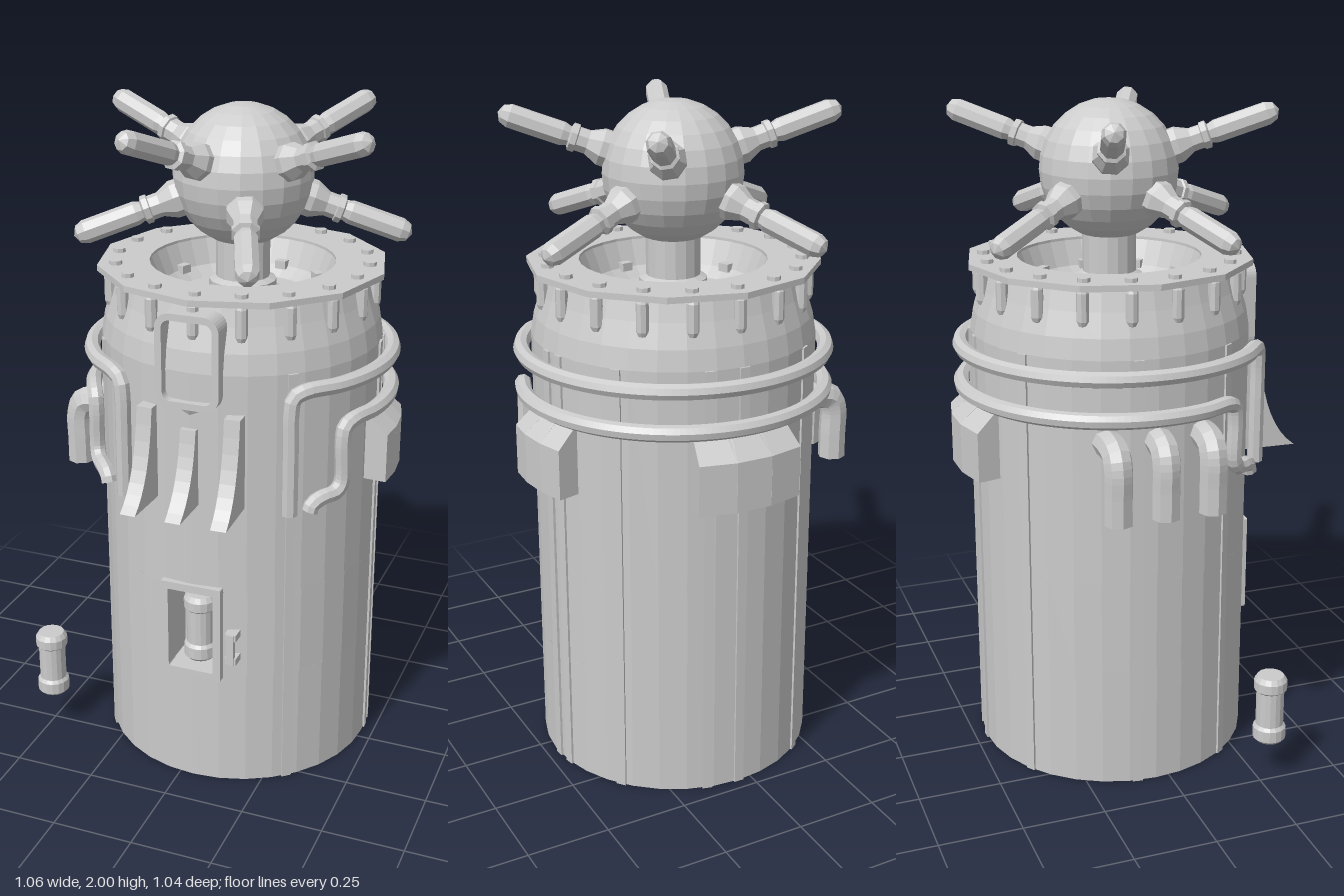
import * as THREE from 'three';

const grey = new THREE.MeshStandardMaterial({ color: 0xcccccc, flatShading: true, side: THREE.DoubleSide });
const inner = new THREE.MeshStandardMaterial({ color: 0xcccccc, flatShading: true, side: THREE.BackSide });
const V = (x, y, z) => new THREE.Vector3(x, y, z);
const deg = THREE.MathUtils.degToRad;

export function createModel() {
  const model = new THREE.Group();
  const tower = new THREE.Group();
  tower.name = 'tower';
  tower.position.set(0.043, 0, -0.042);
  model.add(tower);

  const add = (name, geometry, x = 0, y = 0, z = 0, material = grey) => {
    const mesh = new THREE.Mesh(geometry, material);
    mesh.name = name;
    mesh.position.set(x, y, z);
    tower.add(mesh);
    return mesh;
  };
  // Places a part at an angle around the axis, its +z pointing outward (0 = front, 90 = left)
  const around = (name, geometry, angle, r, y) => {
    const a = deg(angle);
    const mesh = add(name, geometry, r * Math.sin(a), y, r * Math.cos(a));
    mesh.rotation.y = a;
    return mesh;
  };
  const lathe = (points, sides = 32, start = 0, length = Math.PI * 2) =>
    new THREE.LatheGeometry(points.map(p => new THREE.Vector2(...p)), sides, start, length);
  // Slab with its side profile given as (outward, up)
  const slab = (shape, width) => {
    const g = new THREE.ExtrudeGeometry(shape, { depth: width, bevelEnabled: false, curveSegments: 8 });
    return g.translate(0, 0, -width / 2).rotateY(-Math.PI / 2);
  };
  const roundRect = (target, w, h, r) => {
    const c = [[w - r, h - r, 0], [r - w, h - r, 1], [r - w, r - h, 2], [w - r, r - h, 3]];
    for (const [x, y, q] of c) target.absarc(x, y, r, q * Math.PI / 2, (q + 1) * Math.PI / 2, false);
    return target;
  };
  const frame = (w, h, r, border, depth) => {
    const s = roundRect(new THREE.Shape(), w, h, r);
    s.holes.push(roundRect(new THREE.Path(), w - border, h - border, Math.max(r - border, 0.004)));
    return new THREE.ExtrudeGeometry(s, { depth, bevelEnabled: false, curveSegments: 4 });
  };
  const pipe = (points, radius, segments) => new THREE.TubeGeometry(
    new THREE.CatmullRomCurve3(points, false, 'centripetal'), segments, radius, 8);

  // Body shell, open at the front for the niche
  const cut = 0.204;
  add('lowerBody', lathe([[0, 0], [0.42, 0], [0.42, 0.375]]));
  add('middleBody', lathe([[0.42, 0.375], [0.42, 0.655]], 30, cut, Math.PI * 2 - 2 * cut));
  add('upperBody', lathe([[0.42, 0.655], [0.42, 1.33], [0.41, 1.39], [0.388, 1.46], [0.37, 1.53]]));
  for (const a of [40, 94, 102, 130, 166, 180, 215, 262, 305])
    around('bodyRib', new THREE.BoxGeometry(0.03, 1.33, 0.02), a, 0.415, 0.665);

  // Top flange with bolts and supports
  const ring = new THREE.Shape();
  for (let i = 0; i < 12; i++) {
    const a = i * Math.PI / 6;
    ring[i ? 'lineTo' : 'moveTo'](0.43 * Math.cos(a), 0.43 * Math.sin(a));
  }
  ring.holes.push(new THREE.Path().absarc(0, 0, 0.275, 0, Math.PI * 2, true));
  add('flange', new THREE.ExtrudeGeometry(ring, { depth: 0.018, bevelEnabled: false, curveSegments: 16 })
    .rotateX(-Math.PI / 2), 0, 1.525, 0);
  for (let i = 0; i < 18; i++) {
    around('flangeBolt', new THREE.CylinderGeometry(0.019, 0.019, 0.02, 8), i * 20, 0.375, 1.545);
    around('flangeSupport', new THREE.CapsuleGeometry(0.018, 0.08, 2, 8), i * 20, 0.392, 1.475);
  }

  // Sunken bowl and column
  add('bowl', lathe([[0, 1.43], [0.21, 1.43], [0.245, 1.46], [0.275, 1.535]]));
  for (let i = 0; i < 9; i++)
    around('bowlStud', new THREE.BoxGeometry(0.035, 0.025, 0.03), i * 40 + 10, 0.24, 1.465);
  add('column', lathe([[0.12, 1.43], [0.12, 1.45], [0.1, 1.46], [0.1, 1.485], [0.08, 1.495], [0.08, 1.64]], 16));

  // Ball head with eight prongs, alternating up and down
  const centre = V(0, 1.795, 0);
  add('ball', new THREE.SphereGeometry(0.205, 20, 14), 0, centre.y, 0);
  const prong = lathe([[0.055, 0.17], [0.055, 0.215], [0.036, 0.255], [0.036, 0.285], [0.042, 0.288],
    [0.042, 0.305], [0.029, 0.31], [0.035, 0.33], [0.035, 0.485], [0.026, 0.508], [0, 0.52]], 8);
  [[-0.46, -0.145], [-0.245, -0.405], [0.255, -0.405], [0.455, -0.145],
    [0.43, 0.215], [0.175, 0.435], [-0.17, 0.435], [-0.425, 0.22]].forEach(([x, z], i) => {
    const mesh = add('prong', prong, 0, centre.y, 0);
    mesh.quaternion.setFromUnitVectors(V(0, 1, 0), V(x, i % 2 ? -0.165 : 0.165, z).normalize());
  });

  // Two pipes wrapped around the back, their ends turned down at the front
  const at = (angle, y, r = 0.45) => V(r * Math.sin(deg(angle)), y, r * Math.cos(deg(angle)));
  const wrap = (from, to, y) => {
    const pts = [];
    for (let i = 0; i <= 20; i++) pts.push(at(from + 5 + (to - from - 10) * i / 20, y));
    return pts;
  };
  add('upperPipe', pipe([at(38, 0.915), at(38, 1.1), at(38, 1.23), at(39, 1.27), ...wrap(38, 331, 1.285),
    at(330, 1.27), at(331, 1.23), at(331, 1.1), at(331, 0.915)], 0.024, 140));
  add('lowerPipe', pipe([at(46, 0.915), at(47, 0.935), at(51, 0.95), at(57, 0.955), at(60, 0.98), at(60, 1.11),
    at(61, 1.15), ...wrap(60, 305, 1.165), at(304, 1.15), at(305, 1.11), at(305, 0.98), at(308, 0.955),
    at(314, 0.95), at(318, 0.935), at(319, 0.915)], 0.024, 150));

  // Three elbow pipes on the right side
  for (const z of [-0.143, 0, 0.143]) {
    add('elbowPipe', pipe([V(-0.34, 1.088, z), V(-0.43, 1.088, z), V(-0.468, 1.075, z), V(-0.483, 1.04, z),
      V(-0.483, 0.96, z), V(-0.483, 0.88, z)], 0.042, 20));
    add('elbowCap', new THREE.CircleGeometry(0.042, 8).rotateX(Math.PI / 2), -0.483, 0.88, z);
  }

  // Sloped boxes on the left side and the back, each in three segments
  const wedge = new THREE.Shape([[0.38, 0.93], [0.485, 0.93], [0.485, 1.08], [0.43, 1.13], [0.38, 1.13]]
    .map(p => new THREE.Vector2(...p)));
  for (const [middle, step, width] of [[96, 10, 0.085], [180, 13, 0.11]])
    for (const k of [-1, 0, 1]) around('slopedBox', slab(wedge, width), middle + k * step, 0, 0);

  // Flared fins on the front
  for (const s of [-1, 0, 1]) {
    const top = s ? 1.215 : 1.165;
    const fin = new THREE.Shape();
    fin.moveTo(0.34, 0.93);
    fin.lineTo(0.555, 0.93);
    fin.quadraticCurveTo(0.455, 1.0, 0.435, top);
    fin.lineTo(0.34, top);
    add('fin', slab(fin, 0.047), s * 0.115, 0, 0).rotation.y = s * 0.04;
  }

  // Rounded window frame above the fins
  add('windowFrame', frame(0.095, 0.138, 0.045, 0.02, 0.1), 0, 1.365, 0.34);
  add('windowBracket', new THREE.CylinderGeometry(0.06, 0.025, 0.07, 10), 0, 1.2, 0.375);

  // Niche with a canister and a handle beside it
  const canister = lathe([[0, 0], [0.04, 0], [0.05, 0.01], [0.05, 0.045], [0.042, 0.055], [0.042, 0.165],
    [0.05, 0.172], [0.05, 0.2], [0.04, 0.215], [0, 0.215]], 16);
  add('nicheFrame', frame(0.095, 0.155, 0.005, 0.024, 0.05), 0, 0.515, 0.382);
  add('niche', new THREE.BoxGeometry(0.15, 0.27, 0.13), 0, 0.515, 0.355, inner);
  add('nicheCanister', canister, 0, 0.39, 0.35);
  add('handleGrip', new THREE.BoxGeometry(0.022, 0.1, 0.015), 0.127, 0.48, 0.43);
  for (const y of [0.44, 0.52]) add('handleMount', new THREE.BoxGeometry(0.035, 0.022, 0.05), 0.127, y, 0.408);

  // Loose canister standing apart
  add('looseCanister', canister, -0.525, 0.13, 0.325);
  return model;
}
